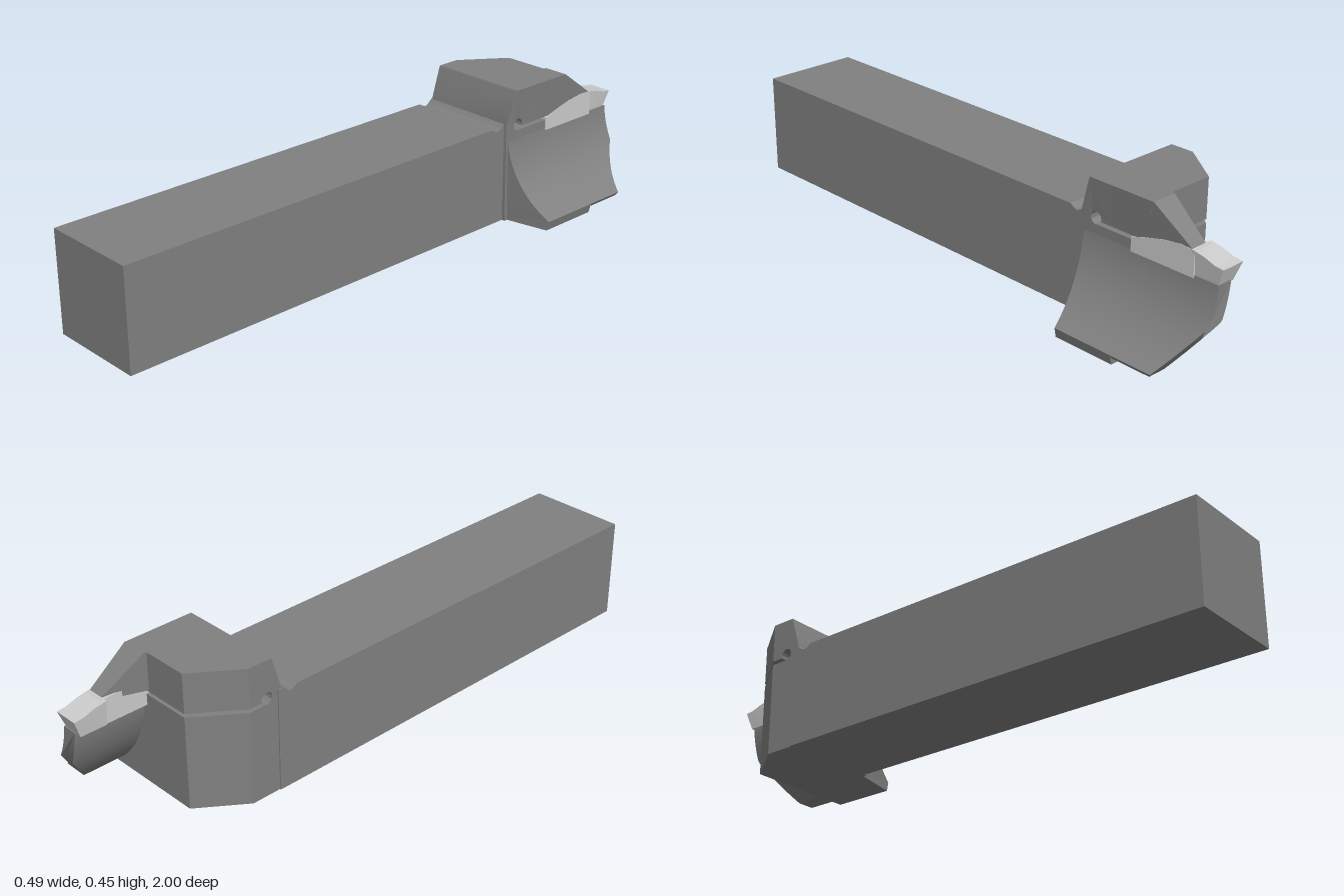
import * as THREE from 'three';
import { toCreasedNormals } from 'three/addons/utils/BufferGeometryUtils.js';

const steel = new THREE.MeshStandardMaterial({ color: 0x808080 });
const carbide = new THREE.MeshStandardMaterial({ color: 0xcccccc });

const toShape = (pts) => new THREE.Shape(pts.map(([a, b]) => new THREE.Vector2(a, b)));

// Move every vertex by a rule, then restore crisp normals
function bend(geometry, rule) {
  const p = geometry.attributes.position;
  const v = new THREE.Vector3();
  for (let i = 0; i < p.count; i++) {
    v.fromBufferAttribute(p, i);
    rule(v);
    p.setXYZ(i, v.x, v.y, v.z);
  }
  return toCreasedNormals(geometry, 0.5);
}

// Side profile (u = -z, y) extruded across x
function acrossX(pts, x0, x1, rule = () => {}) {
  const g = new THREE.ExtrudeGeometry(toShape(pts), { depth: x1 - x0, bevelEnabled: false });
  g.rotateY(Math.PI / 2).translate(x0, 0, 0);
  return bend(g, rule);
}

// Front profile (x, y) extruded along z
function alongZ(pts, z0, z1, rule = () => {}) {
  const g = new THREE.ExtrudeGeometry(toShape(pts), { depth: z1 - z0, bevelEnabled: false });
  g.translate(0, 0, z0);
  return bend(g, rule);
}

// Points on a cylinder about the blade axis, between two heights
function arc(radius, y0, y1, n = 24) {
  return Array.from({ length: n + 1 }, (_, i) => {
    const y = y0 + ((y1 - y0) * i) / n;
    return [0.43 - Math.sqrt(radius * radius - (y - 0.315) ** 2), y];
  });
}

export function createModel() {
  const group = new THREE.Group();
  const add = (name, geometry, material = steel) => {
    const mesh = new THREE.Mesh(geometry, material);
    mesh.name = name;
    group.add(mesh);
  };

  // Square shank with a shallow relief groove before the head
  const groove = [];
  for (let i = 0; i <= 10; i++) {
    const t = i / 10;
    groove.push([0.43 + 0.055 * t, 0.333 + 0.007 * t - 0.016 * Math.sin(Math.PI * t)]);
  }
  add('shank', acrossX([[-1, 0], [-1, 0.333], ...groove, [0.5, 0.34], [0.5, 0]].reverse(), -0.244, 0.086));

  // Head: right side leans outward near the top, left rear corner is chamfered
  const headRule = (v) => {
    if (v.x > 0) v.x += Math.max(0, v.y - 0.34) * 0.09;
    else if (v.z < -0.6) v.x += (-0.6 - v.z) * 0.72;
  };
  const hole = [];
  for (let i = 0; i <= 24; i++) {
    const a = -0.36 + (5.39 * i) / 24;
    hole.push([0.54 + 0.02 * Math.cos(a), 0.327 + 0.02 * Math.sin(a)]);
  }
  add('headFront', acrossX([[0.49, 0], [0.485, 0.34], [0.52, 0.45], [0.6, 0.45], [0.6, 0.32],
    ...hole, [0.6, 0.308], [0.6, 0]], -0.24, 0.097, headRule));
  add('headLowerJaw', acrossX([[0.6, 0], [0.747, 0], [0.747, 0.308], [0.6, 0.308]], -0.24, 0.097, headRule));
  add('headUpperJaw', acrossX([[0.6, 0.32], [0.747, 0.32], [0.747, 0.45], [0.6, 0.45]], -0.24, 0.097, headRule));

  // Clamping finger over the insert, narrowing rearward
  add('clampFinger', acrossX([[0.74, 0.325], [0.89, 0.345], [0.89, 0.355], [0.757, 0.45], [0.74, 0.45]],
    0.02, 0.097, (v) => {
      if (v.x > 0.05) v.x += Math.max(0, v.y - 0.34) * 0.09;
      else v.x += Math.max(0, -v.z - 0.75) * 0.17;
    }));

  // Flared side of the head with a concave outer face
  add('headFlare', alongZ([[0.06, 0], [0.243, 0], ...arc(0.335, 0.032, 0.29), [0.06, 0.29]],
    -0.747, -0.495, (v) => {
      if (v.z > -0.6) v.z -= Math.max(0, v.x - 0.097) * 0.26;
    }));

  // Curved support blade, cut back at its lower rear corner
  add('supportBlade', alongZ([[0.243, 0.02], ...arc(0.335, 0.032, 0.28), ...arc(0.385, 0.28, 0.02)],
    -0.985, -0.74, (v) => {
      if (v.z < -0.9) v.z += Math.max(0, 0.165 - v.y) * 0.7;
    }));

  // Cutting insert: slim body and wider cutting tip
  add('insertBody', acrossX([[0.675, 0.272], [0.9, 0.272], [0.9, 0.354], [0.85, 0.356], [0.79, 0.348],
    [0.72, 0.33], [0.675, 0.316]], 0.034, 0.1), carbide);
  add('insertTip', acrossX([[0.89, 0.272], [0.978, 0.272], [1, 0.332], [0.97, 0.335], [0.93, 0.348], [0.89, 0.355]],
    0.021, 0.101, (v) => {
      // Side clearance below the cutting edge
      const inset = Math.max(0, 0.332 - v.y) * 0.15;
      v.x += v.x < 0.06 ? inset : -inset;
    }), carbide);

  return group;
}
